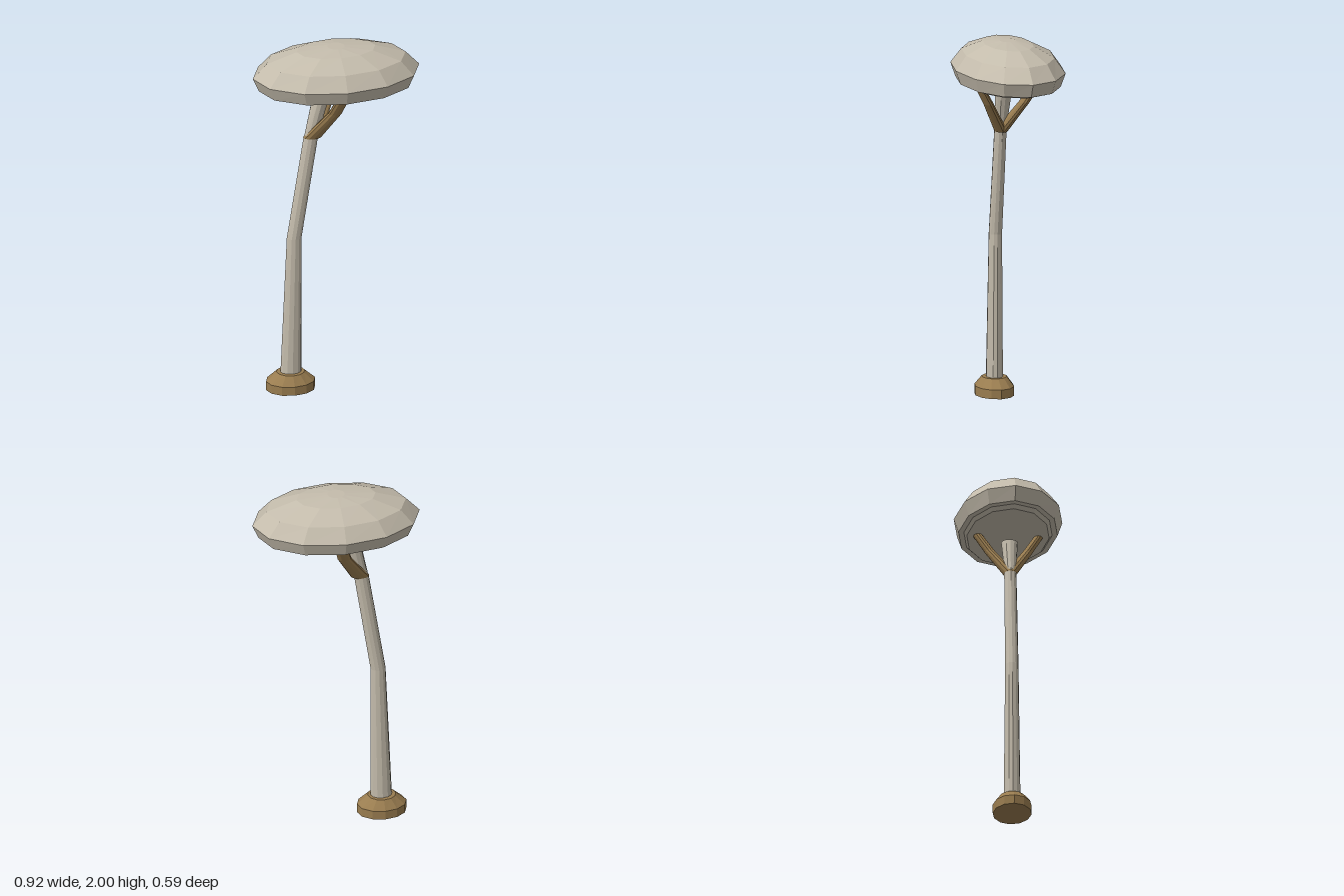
import * as THREE from 'three';

const SIDES = 12;

// Skins a stack of horizontal elliptical rings [centreX, y, centreZ, radiusX, radiusZ], listed bottom to top.
function loft(rings) {
  const pos = [];
  const point = ([cx, y, cz, a, b], i) => {
    const t = (i / SIDES) * Math.PI * 2;
    return [cx + a * Math.cos(t), y, cz + b * Math.sin(t)];
  };
  const first = rings[0];
  const last = rings[rings.length - 1];
  for (let i = 0; i < SIDES; i++) {
    for (let r = 0; r + 1 < rings.length; r++) {
      const lo0 = point(rings[r], i), lo1 = point(rings[r], i + 1);
      const up0 = point(rings[r + 1], i), up1 = point(rings[r + 1], i + 1);
      pos.push(...lo0, ...up0, ...lo1, ...lo1, ...up0, ...up1);
    }
    pos.push(...first.slice(0, 3), ...point(first, i), ...point(first, i + 1));
    pos.push(...last.slice(0, 3), ...point(last, i + 1), ...point(last, i));
  }
  const geometry = new THREE.BufferGeometry();
  geometry.setAttribute('position', new THREE.Float32BufferAttribute(pos, 3));
  geometry.computeVertexNormals(); // unshared corners give flat facets
  return geometry;
}

export function createModel() {
  const group = new THREE.Group();
  const paleGrey = new THREE.MeshStandardMaterial({ color: 0xc4bcac });
  paleGrey.name = 'paleGrey';
  const bronze = new THREE.MeshStandardMaterial({ color: 0x9a7d50 });
  bronze.name = 'bronze';

  const add = (name, material, rings) => {
    const mesh = new THREE.Mesh(loft(rings), material);
    mesh.name = name;
    group.add(mesh);
  };

  // Foot: short drum with a bevelled top
  add('base', bronze, [
    [-0.25, 0, 0, 0.135, 0.105],
    [-0.25, 0.05, 0, 0.135, 0.105],
    [-0.25, 0.1, 0, 0.077, 0.068],
  ]);

  // Bent, tapering pole
  add('pole', paleGrey, [
    [-0.248, 0.09, 0, 0.058, 0.045],
    [-0.23, 0.89, 0, 0.041, 0.036],
    [-0.138, 1.48, 0, 0.04, 0.033],
  ]);

  // Flared stub between the arms
  add('poleTip', paleGrey, [
    [-0.138, 1.48, 0, 0.038, 0.03],
    [-0.09, 1.68, 0, 0.045, 0.045],
  ]);

  // Forked arms carrying the lamp head
  for (const side of [1, -1]) {
    add(side > 0 ? 'frontArm' : 'backArm', bronze, [
      [-0.131, 1.475, 0, 0.05, 0.035],
      [-0.028, 1.65, side * 0.1, 0.038, 0.028],
      [0.006, 1.765, side * 0.166, 0.034, 0.025],
    ]);
  }

  // Oval lamp head with a recessed step under the rim
  add('lampHead', paleGrey, [
    [0, 1.757, 0, 0.36, 0.222],
    [0, 1.775, 0, 0.385, 0.238],
    [0, 1.775, 0, 0.425, 0.267],
    [0, 1.85, 0, 0.458, 0.293],
    [0, 1.93, 0, 0.383, 0.236],
    [0, 1.985, 0, 0.217, 0.128],
    [0, 2.0, 0, 0.047, 0.045],
  ]);

  return group;
}
